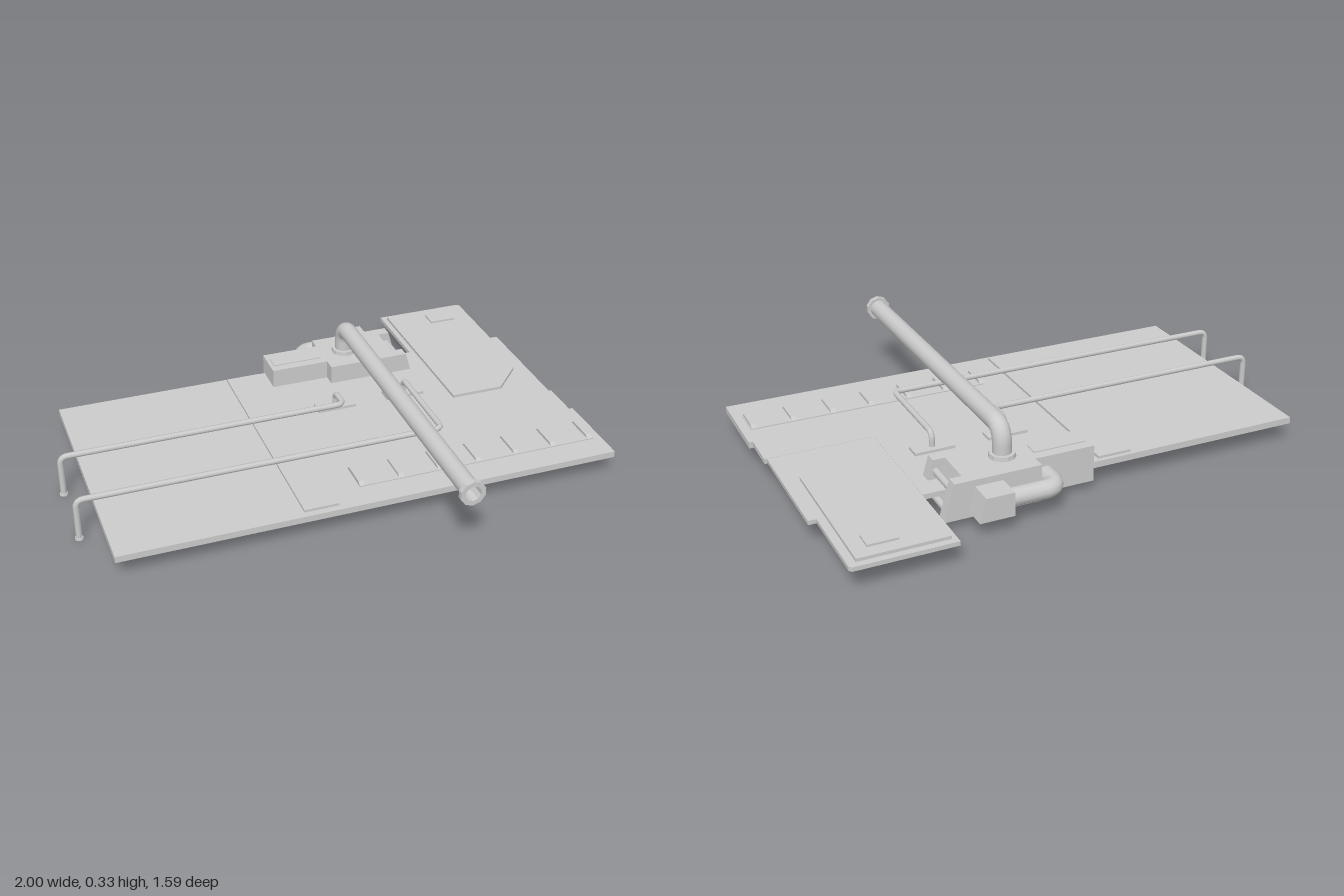
import * as THREE from 'three';

const grey = new THREE.MeshStandardMaterial({ color: 0xcccccc, flatShading: true });
const smooth = new THREE.MeshStandardMaterial({ color: 0xcccccc });
const open = new THREE.MeshStandardMaterial({ color: 0xcccccc, side: THREE.DoubleSide });

export function createModel() {
  const model = new THREE.Group();

  const add = (name, geometry, material = grey) => {
    const mesh = new THREE.Mesh(geometry, material);
    mesh.name = name;
    model.add(mesh);
    return mesh;
  };

  // Box given by its limits on each axis
  const box = (name, x0, x1, y0, y1, z0, z1) =>
    add(name, new THREE.BoxGeometry(x1 - x0, y1 - y0, z1 - z0)
      .translate((x0 + x1) / 2, (y0 + y1) / 2, (z0 + z1) / 2));

  // Horizontal plate from an [x, z] outline
  const plate = (name, points, y0, y1) => {
    const shape = new THREE.Shape(points.map(([x, z]) => new THREE.Vector2(x, -z)));
    add(name, new THREE.ExtrudeGeometry(shape, { depth: y1 - y0, bevelEnabled: false })
      .rotateX(-Math.PI / 2).translate(0, y0, 0));
  };

  // Upright [x, y] profile extruded from z0 to z1
  const profile = (name, points, z0, z1) => {
    const shape = new THREE.Shape(points.map(([x, y]) => new THREE.Vector2(x, y)));
    add(name, new THREE.ExtrudeGeometry(shape, { depth: z1 - z0, bevelEnabled: false })
      .translate(0, 0, z0));
  };

  // Pipe along straight runs with rounded corners
  const pipe = (name, points, radius, bend, sides) => {
    const p = points.map((a) => new THREE.Vector3(...a));
    const path = new THREE.CurvePath();
    let from = p[0];
    for (let i = 1; i < p.length - 1; i++) {
      const a = p[i].clone().add(p[i - 1].clone().sub(p[i]).setLength(bend));
      const b = p[i].clone().add(p[i + 1].clone().sub(p[i]).setLength(bend));
      path.add(new THREE.LineCurve3(from, a));
      path.add(new THREE.QuadraticBezierCurve3(a, p[i], b));
      from = b;
    }
    path.add(new THREE.LineCurve3(from, p[p.length - 1]));
    add(name, new THREE.TubeGeometry(path, 160, radius, sides, false), open);
  };

  // Deck in stepped layers
  plate('mainDeck', [[-0.91, -0.51], [-0.03, -0.51], [-0.03, 0.16], [1, 0.16], [1, 0.49], [-0.91, 0.49]], 0.075, 0.1);
  plate('innerDeck', [[-0.03, -0.47], [0.57, -0.47], [0.57, 0.01], [0.985, 0.01], [0.985, 0.16], [-0.03, 0.16]], 0.08, 0.1);
  plate('rearWing', [[0.57, -0.8], [0.935, -0.8], [0.945, -0.79], [0.945, -0.47], [0.975, -0.47], [0.975, 0.01], [0.57, 0.01]], 0.083, 0.099);
  plate('wingPanel', [[0.59, -0.775], [0.915, -0.775], [0.915, -0.19], [0.8, -0.07], [0.59, -0.07]], 0.098, 0.111);
  box('wingHatch', 0.75, 0.86, 0.11, 0.119, -0.725, -0.655);
  box('deckStrip', -0.225, -0.095, 0.099, 0.11, -0.495, 0.465);

  // Ribbed panel near the front edge
  box('ribbedPanel', 0.015, 0.965, 0.099, 0.104, 0.255, 0.385);
  for (let i = 0; i < 7; i++) {
    const x = 0.025 + i * 0.1545;
    const rib = new THREE.Shape([[0.385, 0.1], [0.37, 0.115], [0.27, 0.115], [0.255, 0.1]]
      .map(([z, y]) => new THREE.Vector2(-z, y)).reverse());
    add('panelRib', new THREE.ExtrudeGeometry(rib, { depth: 0.02, bevelEnabled: false })
      .rotateY(Math.PI / 2).translate(x - 0.01, 0, 0));
  }

  // Machinery housing with a sloped left end
  box('housingSide', -0.06, 0.17, 0.035, 0.175, -0.525, -0.39);
  box('housingVent', -0.045, 0.155, 0.17, 0.179, -0.485, -0.425);
  profile('housing', [[0.17, 0.035], [0.49, 0.035], [0.45, 0.175], [0.17, 0.175]], -0.575, -0.34);
  for (const [z0, z1] of [[-0.575, -0.53], [-0.385, -0.34]]) {
    profile('housingPost', [[0.48, 0.035], [0.535, 0.035], [0.495, 0.175], [0.44, 0.175]], z0, z1);
  }
  for (const [x, y] of [[0.505, 0.055], [0.485, 0.13]]) {
    add('housingBar', new THREE.CylinderGeometry(0.014, 0.014, 0.15, 8)
      .rotateX(Math.PI / 2).translate(x, y, -0.457), smooth);
  }

  // Exhaust elbow and box behind the housing
  pipe('exhaustElbow', [[0.13, 0.105, -0.5], [0.13, 0.105, -0.62], [0.33, 0.105, -0.62]], 0.034, 0.05, 12);
  profile('exhaustBox', [[0.315, 0.06], [0.445, 0.06], [0.42, 0.15], [0.315, 0.15]], -0.67, -0.575);

  // Large elbowed pipe with collar and open end flange
  pipe('mainPipe', [[0.265, 0.175, -0.455], [0.265, 0.288, -0.455], [0.265, 0.28, 0.785]], 0.035, 0.065, 14);
  add('pipeCollar', new THREE.CylinderGeometry(0.048, 0.05, 0.018, 12).translate(0.265, 0.182, -0.455));
  const flange = [[0.03, -0.06], [0.035, -0.015], [0.048, -0.015], [0.048, 0.005], [0.03, 0.005], [0.03, -0.06]]
    .map(([r, y]) => new THREE.Vector2(r, y));
  add('pipeFlange', new THREE.LatheGeometry(flange, 10).rotateX(Math.PI / 2).translate(0.265, 0.28, 0.785),
    new THREE.MeshStandardMaterial({ color: 0xcccccc, flatShading: true, side: THREE.DoubleSide }));
  add('pipePlug', new THREE.CircleGeometry(0.032, 10).translate(0.265, 0.28, 0.73), open);

  // Two thin lines running out over the right edge and down to feet
  for (const [z, x] of [[-0.075, 0.123], [0.213, 0.412]]) {
    pipe('thinPipe', [[-0.983, 0, z], [-0.983, 0.165, z], [x, 0.165, z], [x, 0.165, -0.168], [x, 0.105, -0.168]], 0.0115, 0.03, 8);
    add('pipeFoot', new THREE.CylinderGeometry(0.015, 0.016, 0.008, 10).translate(-0.983, 0.004, z));
    box('pipePad', x - 0.078, x + 0.078, 0.099, 0.111, -0.2, -0.14);
  }

  return model;
}
